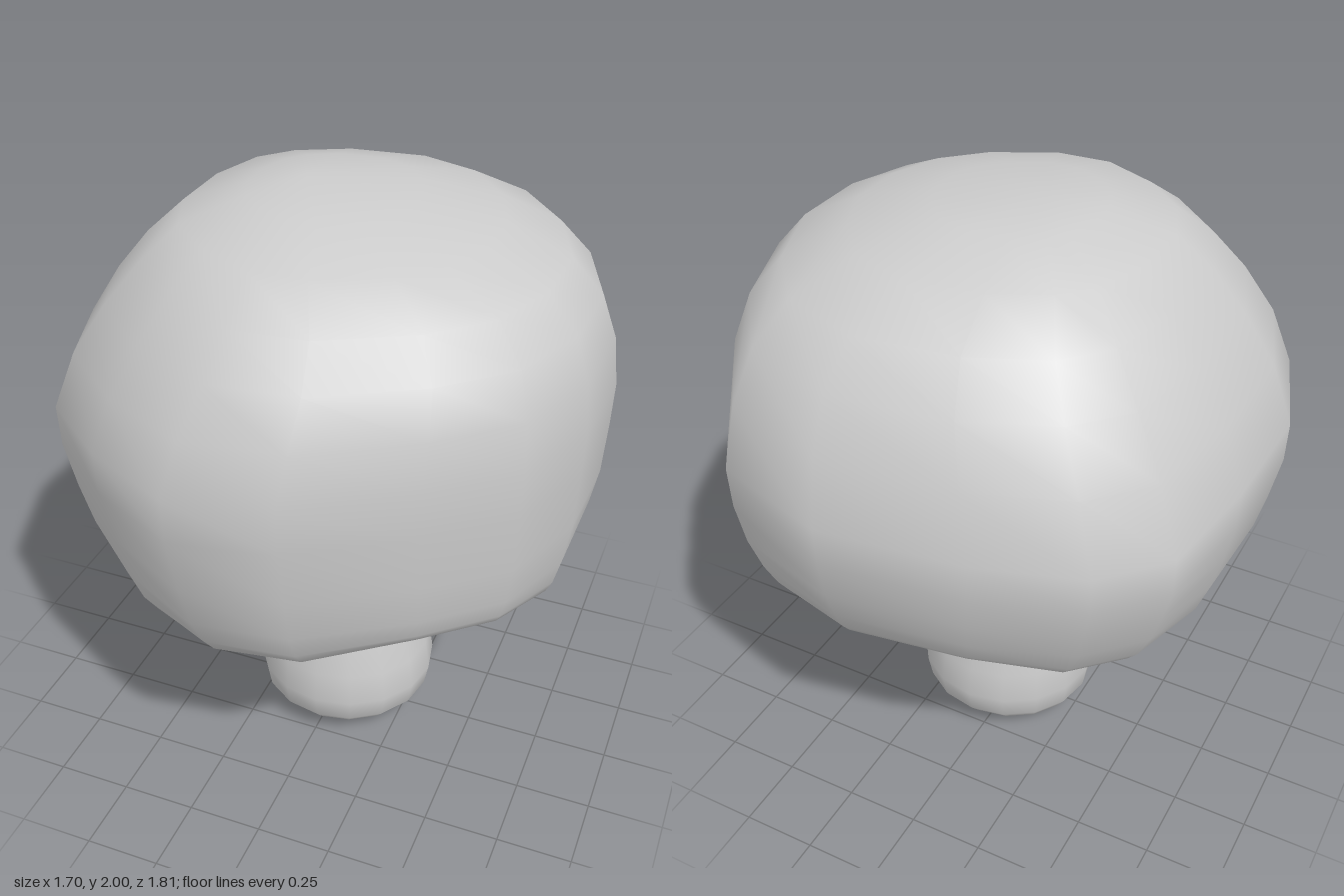
import * as THREE from 'three';

const material = new THREE.MeshStandardMaterial({ color: 0xcccccc, side: THREE.DoubleSide });

// Joins rings of equal length (listed from top to bottom) into one smooth skin,
// with an optional point closing each end.
function loft(name, rings, top, bottom) {
  const n = rings[0].length;
  const points = rings.flat();
  const index = [];
  for (let i = 0; i < rings.length - 1; i++) {
    for (let j = 0; j < n; j++) {
      const k = (j + 1) % n;
      const a = i * n + j, b = a + n, c = (i + 1) * n + k, d = i * n + k;
      index.push(a, b, c, a, c, d);
    }
  }
  if (top) {
    points.push(top);
    for (let j = 0; j < n; j++) index.push(points.length - 1, j, (j + 1) % n);
  }
  if (bottom) {
    points.push(bottom);
    const last = (rings.length - 1) * n;
    for (let j = 0; j < n; j++) index.push(points.length - 1, last + (j + 1) % n, last + j);
  }
  const geometry = new THREE.BufferGeometry();
  geometry.setAttribute('position', new THREE.Float32BufferAttribute(points.flat(), 3));
  geometry.setIndex(index);
  geometry.computeVertexNormals();
  const mesh = new THREE.Mesh(geometry, material);
  mesh.name = name;
  return mesh;
}

// Lumpy cap outline: x, z and the height of the wavy rim below it
const outline = [
  [-0.17, 0.90, 0.77], [0.15, 0.855, 0.785], [0.49, 0.65, 0.835], [0.72, 0.46, 0.83],
  [0.83, 0.18, 0.79], [0.845, -0.16, 0.845], [0.73, -0.51, 0.785], [0.52, -0.82, 0.79],
  [0.16, -0.91, 0.81], [-0.28, -0.83, 0.81], [-0.60, -0.71, 0.775], [-0.77, -0.53, 0.765],
  [-0.83, -0.19, 0.735], [-0.85, 0.19, 0.73], [-0.74, 0.51, 0.715], [-0.48, 0.73, 0.74],
];

// Cap profile: height, scale of the outline, shift in x, share of the rim's waviness,
// roundness (0 follows the outline, 1 is a circle), tilt towards the front left
const capProfile = [
  [1.975, 0.30, -0.02, 0, 0.7, 0], [1.91, 0.555, 0.01, 0, 0.6, 0], [1.81, 0.735, 0.05, 0, 0.45, 0.01],
  [1.69, 0.855, 0.05, 0, 0.3, 0.02], [1.54, 0.945, 0.025, 0, 0.15, 0.035],
  [1.36, 1, 0, 0, 0, 0.06], [1.22, 0.995, 0, 0, 0, 0.05], [1.06, 0.97, 0.01, 0.1, 0.1, 0.02],
  [0.93, 0.935, 0.015, 0.4, 0.2, 0], [0.84, 0.895, 0.025, 0.8, 0.3, 0],
  [0.795, 0.86, 0.035, 1, 0.3, 0], [0.785, 0.82, 0.035, 1, 0.3, 0],
  // hollow underside
  [0.82, 0.79, 0.03, 0.8, 0.3, 0], [0.93, 0.785, 0.02, 0.4, 0.4, 0], [1.06, 0.74, 0.01, 0.1, 0.5, 0],
  [1.14, 0.63, 0, 0, 0.8, 0], [1.15, 0.48, 0, 0, 1, 0],
];

function createCap() {
  const rings = capProfile.map(([y, scale, dx, wave, round, tilt]) =>
    outline.map(([x, z, rim]) => {
      const s = scale * (1 + (0.88 / Math.hypot(x, z) - 1) * round);
      return [x * s + dx, y + (rim - 0.785) * wave + (x + z) * tilt, z * s];
    }));
  return loft('cap', rings, [-0.11, 2, 0]);
}

// Stem profile: height, radius in x, radius in z, centre x; flares out into the cap
const stemProfile = [
  [1.155, 0.43, 0.43, 0], [1.08, 0.35, 0.35, 0], [0.97, 0.255, 0.255, 0.01],
  [0.87, 0.203, 0.193, 0.012], [0.76, 0.197, 0.18, 0.015], [0.60, 0.225, 0.215, 0.015],
  [0.45, 0.265, 0.255, 0.013], [0.30, 0.302, 0.293, 0.02], [0.19, 0.314, 0.306, 0.023],
  [0.11, 0.3, 0.293, 0.022], [0.06, 0.262, 0.25, 0.018], [0.025, 0.19, 0.18, 0.015],
  [0.008, 0.10, 0.10, 0.01],
];

function createStem() {
  const sides = 16;
  const rings = stemProfile.map(([y, rx, rz, cx]) =>
    Array.from({ length: sides }, (_, j) => {
      const a = (j / sides) * Math.PI * 2;
      return [cx + rx * Math.sin(a), y, rz * Math.cos(a) - 0.006];
    }));
  return loft('stem', rings, null, [0.01, 0, 0]);
}

export function createModel() {
  const mushroom = new THREE.Group();
  mushroom.name = 'mushroom';
  mushroom.add(createCap(), createStem());
  return mushroom;
}
